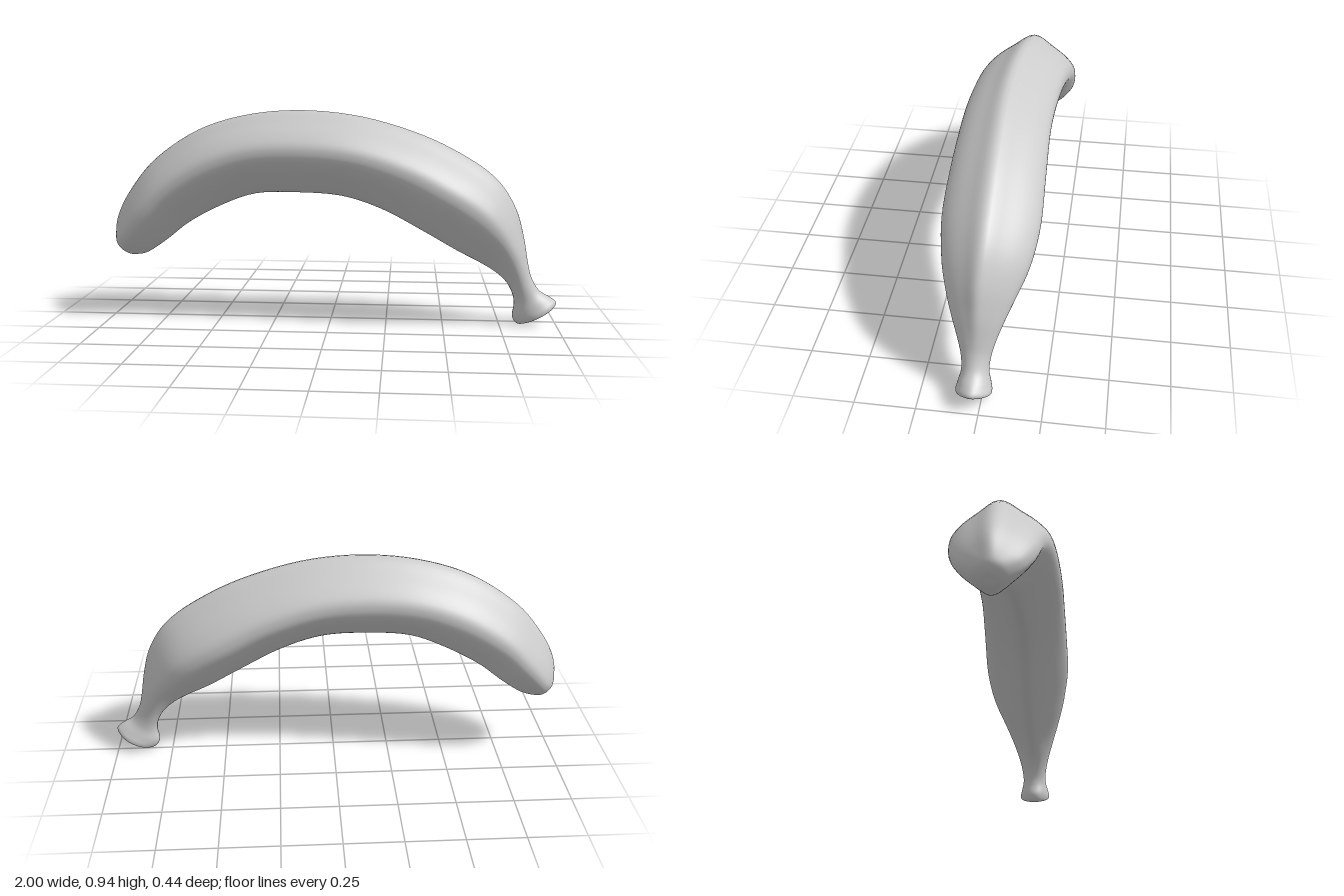
import * as THREE from 'three';
import { mergeVertices } from 'three/addons/utils/BufferGeometryUtils.js';

const { lerp, smoothstep } = THREE.MathUtils;

// Stations from blossom tip to stem end: outer x, outer y, inner x, inner y, half width
const STATIONS = [
  [-0.96, 0.295, -0.96, 0.295, 0],
  [-0.985, 0.315, -0.935, 0.278, 0.035],
  [-1, 0.36, -0.905, 0.273, 0.075],
  [-0.985, 0.46, -0.85, 0.285, 0.13],
  [-0.92, 0.58, -0.76, 0.345, 0.168],
  [-0.8, 0.72, -0.65, 0.43, 0.184],
  [-0.6, 0.85, -0.5, 0.51, 0.192],
  [-0.37, 0.92, -0.34, 0.567, 0.193],
  [-0.12, 0.94, -0.15, 0.576, 0.193],
  [0.14, 0.913, 0.05, 0.563, 0.194],
  [0.4, 0.836, 0.23, 0.505, 0.2],
  [0.6, 0.738, 0.41, 0.41, 0.202],
  [0.735, 0.638, 0.56, 0.325, 0.178],
  [0.815, 0.515, 0.66, 0.275, 0.14],
  [0.852, 0.39, 0.735, 0.23, 0.104],
  [0.872, 0.28, 0.782, 0.185, 0.076],
  [0.89, 0.21, 0.81, 0.13, 0.06],
  [0.925, 0.152, 0.816, 0.085, 0.056],
  [0.975, 0.122, 0.81, 0.035, 0.066],
  [1, 0.1, 0.825, 0.006, 0.073],
  [0.985, 0.075, 0.85, 0.004, 0.062],
  [0.915, 0.045, 0.915, 0.045, 0],
];

// Half of the five-sided section as (width, height): top ridge, side corner, keel
const HALF = [[0, 1], [0.4, 0.875], [0.8, 0.715], [0.97, 0.59], [0.98, 0.47], [0.85, 0.35], [0.5, 0.17], [0.14, 0.02]];
const AROUND = 64;
const RINGS_PER_STATION = 5;

function ridgedSection() {
  const right = HALF.map(([w, h]) => new THREE.Vector3(w, h, 0));
  const left = HALF.slice(1).reverse().map(([w, h]) => new THREE.Vector3(-w, h, 0));
  return new THREE.CatmullRomCurve3([...right, new THREE.Vector3(), ...left], true, 'centripetal');
}

// the fruit drifts gently from back to front along its length
function sideways(x) {
  return lerp(-0.05, 0.015, smoothstep(x, -1, 0.1)) + 0.014 * smoothstep(x, 0.6, 0.85);
}

function loftPeel() {
  const spline = (points) => new THREE.CatmullRomCurve3(points, false, 'catmullrom', 0.5);
  const outer = spline(STATIONS.map(([x, y, , , w]) => new THREE.Vector3(x, y, w)));
  const inner = spline(STATIONS.map(([, , x, y]) => new THREE.Vector3(x, y, 0)));
  const section = ridgedSection();
  const rings = (STATIONS.length - 1) * RINGS_PER_STATION;
  const positions = [];
  const indices = [];

  for (let i = 0; i <= rings; i++) {
    const o = outer.getPoint(i / rings), n = inner.getPoint(i / rings);
    const zc = sideways((o.x + n.x) / 2);
    // narrow parts turn from the ridged section into an oval
    const round = 1 - smoothstep(o.z, 0.045, 0.13);
    for (let j = 0; j < AROUND; j++) {
      const p = section.getPoint(j / AROUND);
      const a = (j / AROUND) * Math.PI * 2;
      const w = lerp(p.x, Math.sin(a), round);
      const h = lerp(p.y, 0.5 + 0.5 * Math.cos(a), round);
      positions.push(lerp(n.x, o.x, h), lerp(n.y, o.y, h), zc + o.z * w);
      if (i < rings) {
        const a0 = i * AROUND + j, a1 = i * AROUND + (j + 1) % AROUND;
        indices.push(a0, a1, a0 + AROUND, a1, a1 + AROUND, a0 + AROUND);
      }
    }
  }

  const geometry = new THREE.BufferGeometry();
  geometry.setAttribute('position', new THREE.Float32BufferAttribute(positions, 3));
  geometry.setIndex(indices);
  const merged = mergeVertices(geometry, 1e-5);
  merged.computeVertexNormals();
  return merged;
}

export function createModel() {
  const group = new THREE.Group();
  group.name = 'banana';

  // curved fruit with its flared stem in one continuous skin
  const peel = new THREE.Mesh(loftPeel(), new THREE.MeshStandardMaterial({ color: 0xcccccc }));
  peel.name = 'peelAndStem';
  group.add(peel);
  return group;
}
